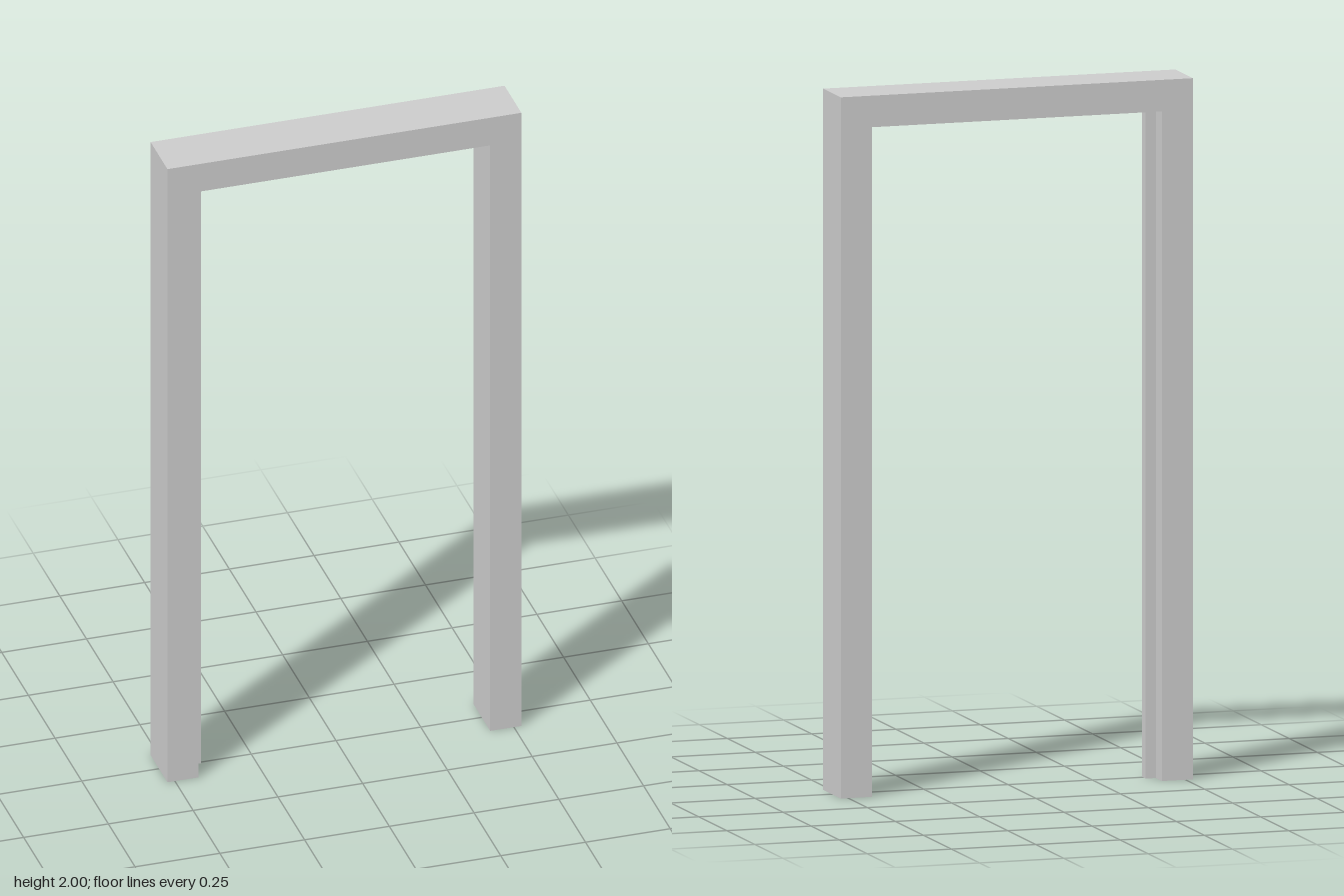
import * as THREE from 'three';

const W = 0.522, INNER = 0.43, H = 2, HEAD = 1.91, D = 0.079;

// Flat-sided sheet: sweeps an open path of points along one vector
function sweep(points, vector) {
  const pos = [];
  for (let i = 0; i + 1 < points.length; i++) {
    const a = points[i], b = points[i + 1];
    const c = b.clone().add(vector), d = a.clone().add(vector);
    for (const p of [a, b, c, a, c, d]) pos.push(p.x, p.y, p.z);
  }
  const geo = new THREE.BufferGeometry();
  geo.setAttribute('position', new THREE.Float32BufferAttribute(pos, 3));
  geo.computeVertexNormals();
  return geo;
}

export function createModel() {
  const group = new THREE.Group();
  group.name = 'doorFrame';
  const mat = new THREE.MeshStandardMaterial({ color: 0xcccccc, side: THREE.DoubleSide });
  const add = (name, geo, z = 0) => {
    const mesh = new THREE.Mesh(geo, mat);
    mesh.name = name;
    mesh.position.z = z;
    group.add(mesh);
    return mesh;
  };
  const arch = (x, y) => [[-x, 0], [-x, y], [x, y], [x, 0]];

  // Front and back faces of the frame
  const outline = [...arch(W, H), ...arch(INNER, HEAD).reverse()];
  const face = new THREE.ShapeGeometry(new THREE.Shape(outline.map(p => new THREE.Vector2(...p))));
  add('frontFace', face, D);
  add('backFace', face, -D).rotation.y = Math.PI;

  // Outer and inner walls; the hollow legs stay open at the floor
  const depth = new THREE.Vector3(0, 0, 2 * D);
  const at = pts => pts.map(([x, y]) => new THREE.Vector3(x, y, -D));
  add('outerWalls', sweep(at(arch(W, H)).reverse(), depth));
  add('innerWalls', sweep(at(arch(INNER, HEAD)), depth));

  // Door stop strip along the inside of one jamb
  const stop = [[-INNER, 0.007], [-0.4, 0.007], [-0.4, -0.025], [-INNER, -0.025]]
    .map(([x, z]) => new THREE.Vector3(x, 0, z));
  add('doorStop', sweep(stop.reverse(), new THREE.Vector3(0, HEAD, 0)));

  return group;
}
